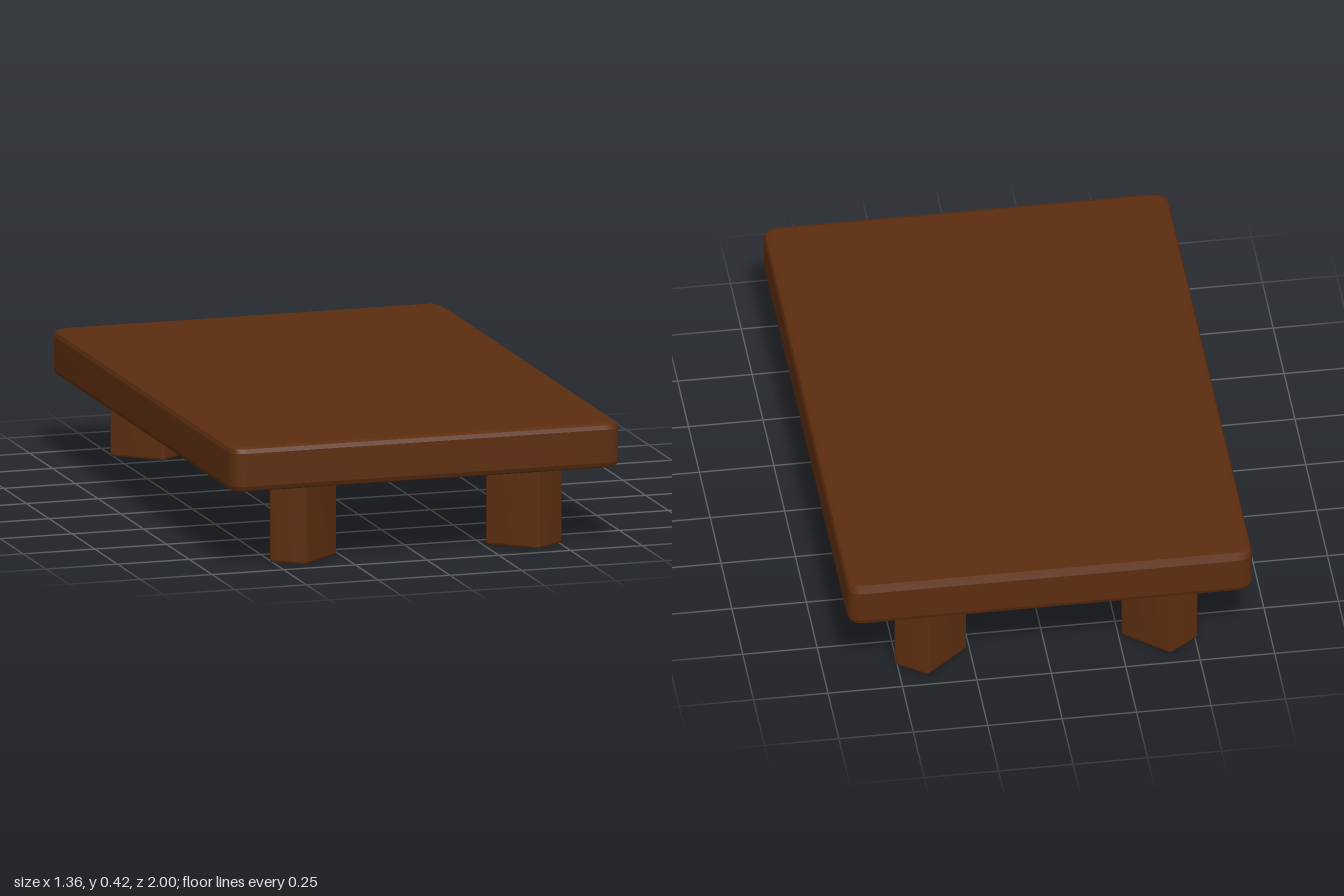
import * as THREE from 'three';
import { toCreasedNormals } from 'three/addons/utils/BufferGeometryUtils.js';

// Upright slab: plan corners [x, z] softened by radius, extruded from y0 to y1 with rounded rims
function slab(corners, radius, bevel, y0, y1) {
  const pts = corners.map(([x, z]) => new THREE.Vector2(x, -z));
  const shape = new THREE.Shape();
  pts.forEach((p, i) => {
    const prev = pts[(i + 3) % 4], next = pts[(i + 1) % 4];
    const a = p.clone().add(prev.clone().sub(p).setLength(radius));
    const b = p.clone().add(next.clone().sub(p).setLength(radius));
    if (i === 0) shape.moveTo(a.x, a.y);
    else shape.lineTo(a.x, a.y);
    shape.quadraticCurveTo(p.x, p.y, b.x, b.y);
  });
  shape.closePath();
  const geo = new THREE.ExtrudeGeometry(shape, {
    depth: y1 - y0 - 2 * bevel,
    bevelEnabled: true,
    bevelThickness: bevel,
    bevelSize: bevel,
    bevelOffset: -bevel,
    bevelSegments: 2,
    curveSegments: 6,
  });
  geo.rotateX(-Math.PI / 2);
  geo.translate(0, y0 + bevel, 0);
  return toCreasedNormals(geo, 0.35);
}

export function createModel() {
  const model = new THREE.Group();
  model.name = 'lowTable';
  const wood = new THREE.MeshStandardMaterial({ color: 0x5c2d0f });
  wood.name = 'dark brown wood';

  const add = (name, geometry) => {
    const mesh = new THREE.Mesh(geometry, wood);
    mesh.name = name;
    model.add(mesh);
  };

  // Table top
  const X = 0.68, Z = 1;
  add('tableTop', slab([[-X, -Z], [X, -Z], [X, Z], [-X, Z]], 0.055, 0.02, 0.27, 0.422));

  // Four legs, each turned so its long side points toward the middle
  const plan = [[0.022, 0.102], [0.128, 0.025], [-0.022, -0.102], [-0.128, -0.025]];
  for (const sx of [1, -1]) {
    for (const sz of [1, -1]) {
      const corners = plan.map(([x, z]) => [sx * (0.385 + x), sz * (0.85 + z)]);
      add((sz > 0 ? 'front' : 'back') + (sx > 0 ? 'Left' : 'Right') + 'Leg',
        slab(corners, 0.012, 0.008, 0, 0.29));
    }
  }
  return model;
}
